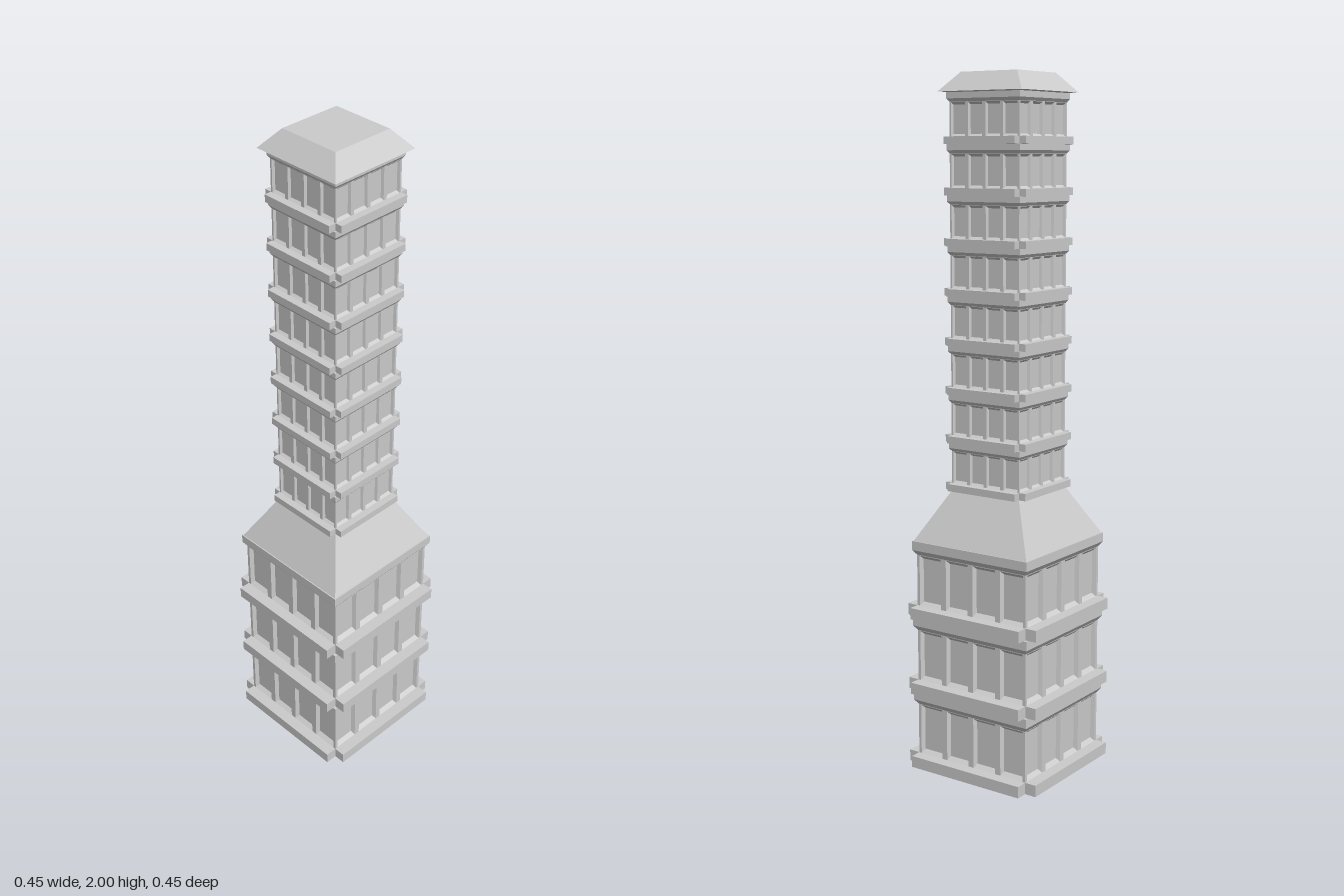
import * as THREE from 'three';

const STOREY = 0.227; // storey height at full scale
const WALL = 0.19; // half width of the walls

const material = new THREE.MeshStandardMaterial({
  color: 0xcccccc, flatShading: true, side: THREE.DoubleSide,
});

function part(name, geometry) {
  const mesh = new THREE.Mesh(geometry, material);
  mesh.name = name;
  return mesh;
}

// Square ring or cap from [half width, height] pairs
function squareLathe(profile) {
  const points = profile.map(([h, y]) => new THREE.Vector2(h * Math.SQRT2, y));
  return new THREE.LatheGeometry(points, 4, Math.PI / 4).toNonIndexed();
}

function rectangle(Type, x0, y0, x1, y1) {
  return new Type([[x0, y0], [x1, y0], [x1, y1], [x0, y1]].map(([x, y]) => new THREE.Vector2(x, y)));
}

// Four window openings per wall
const win = { w: 0.077, y0: 0.034, y1: 0.184, depth: 0.012 };
const windowX = [-0.1425, -0.0475, 0.0475, 0.1425];

function wallGeometry() {
  const shape = rectangle(THREE.Shape, -WALL, 0, WALL, 0.19);
  for (const x of windowX) {
    shape.holes.push(rectangle(THREE.Path, x - win.w / 2, win.y0, x + win.w / 2, win.y1));
  }
  return new THREE.ShapeGeometry(shape);
}

// Sunken panel with sloping reveals
function panelGeometry() {
  const g = squareLathe([[0.5, 0], [0.43, -win.depth], [0, -win.depth]]);
  g.rotateX(Math.PI / 2);
  g.scale(win.w, win.y1 - win.y0, 1);
  return g;
}

const wallGeo = wallGeometry();
const panelGeo = panelGeometry();
const ledgeGeo = new THREE.BoxGeometry(2 * WALL, 0.034, 0.043);
const corniceGeo = squareLathe([[WALL, 0.186], [0.2, 0.2], [0.2, STOREY], [WALL - 0.005, STOREY]]);

function createSide() {
  const side = new THREE.Group();
  side.name = 'side';
  const wall = part('wall', wallGeo);
  wall.position.z = WALL;
  side.add(wall);
  for (const x of windowX) {
    const panel = part('windowPanel', panelGeo);
    panel.position.set(x, (win.y0 + win.y1) / 2, WALL);
    side.add(panel);
  }
  // Projecting ledge, stopping short of the corners
  const ledge = part('ledge', ledgeGeo);
  ledge.position.set(0, 0.017, 0.2035);
  side.add(ledge);
  return side;
}

function createStorey() {
  const storey = new THREE.Group();
  storey.name = 'storey';
  for (let i = 0; i < 4; i++) {
    const side = createSide();
    side.rotation.y = (i * Math.PI) / 2;
    storey.add(side);
  }
  storey.add(part('cornice', corniceGeo));
  return storey;
}

// Stack of equal storeys
function createStack(name, count, baseY, scale) {
  const stack = new THREE.Group();
  stack.name = name;
  for (let i = 0; i < count; i++) {
    const storey = createStorey();
    storey.position.y = i * STOREY;
    stack.add(storey);
  }
  stack.scale.setScalar(scale);
  stack.position.y = baseY;
  return stack;
}

export function createModel() {
  const tower = new THREE.Group();
  tower.name = 'tower';
  tower.add(createStack('lowerTower', 3, 0, 1));
  tower.add(part('skirtRoof', squareLathe([[0.2, 0.655], [0.2, 0.675], [0.115, 0.83]])));
  tower.add(createStack('upperTower', 8, 0.828, 0.615));
  tower.add(part('topRoof', squareLathe([[0.115, 1.945], [0.14, 1.947], [0.094, 2], [0, 2]])));
  return tower;
}
